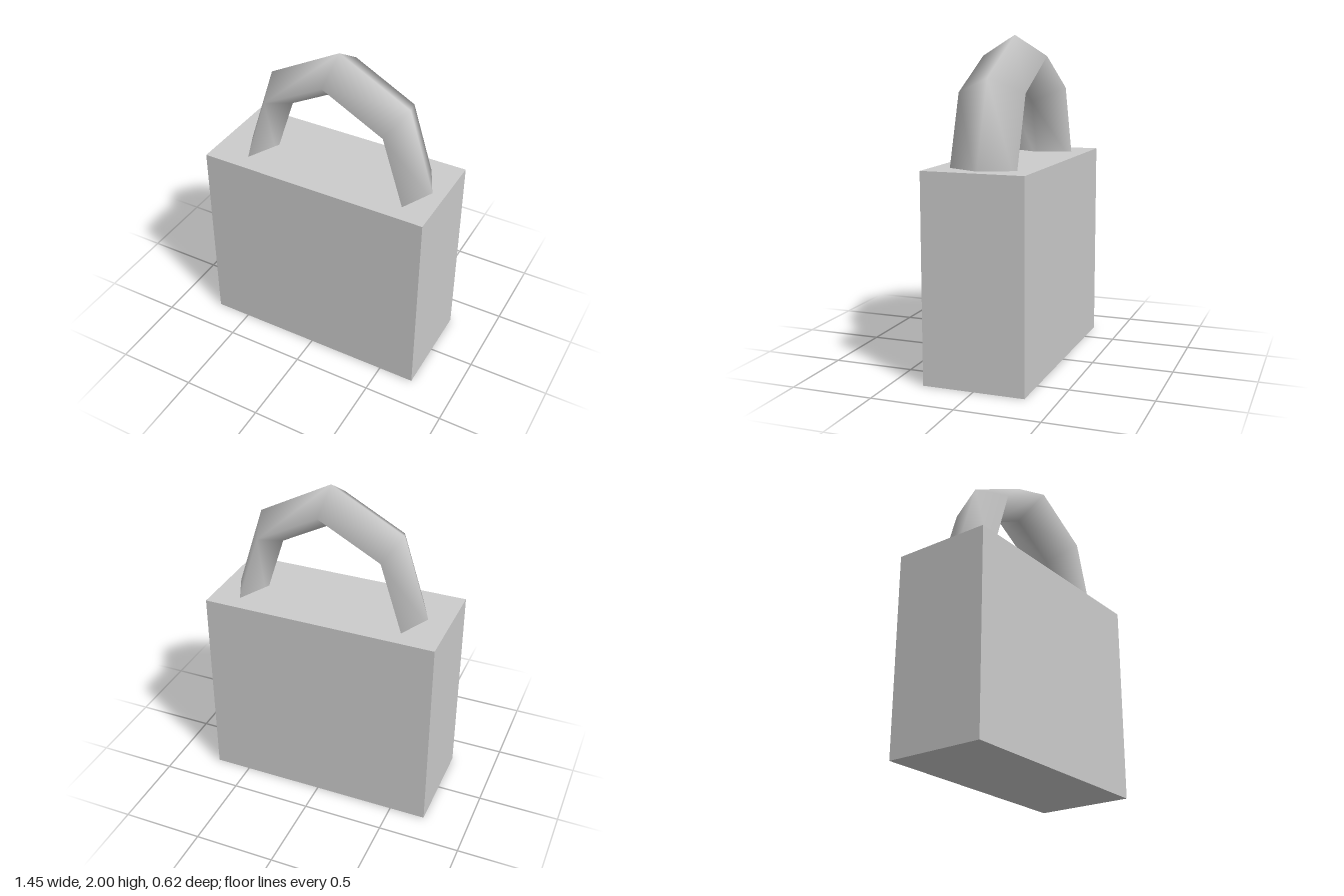
import * as THREE from 'three';

export function createModel() {
  const group = new THREE.Group();
  const material = new THREE.MeshStandardMaterial({ color: 0xcccccc });

  // Solid block that forms the lock body
  const body = new THREE.Mesh(new THREE.BoxGeometry(1.446, 1.25, 0.62), material);
  body.name = 'body';
  body.position.y = 0.625;
  group.add(body);

  // Half ring with a diamond section, stretched; its ends sink into the body
  const shackle = new THREE.Mesh(new THREE.TorusGeometry(1, 0.18, 4, 4, Math.PI), material);
  shackle.name = 'shackle';
  shackle.scale.set(0.54, 0.695, 1.135);
  shackle.position.set(0.03, 1.18, 0);
  group.add(shackle);

  return group;
}
